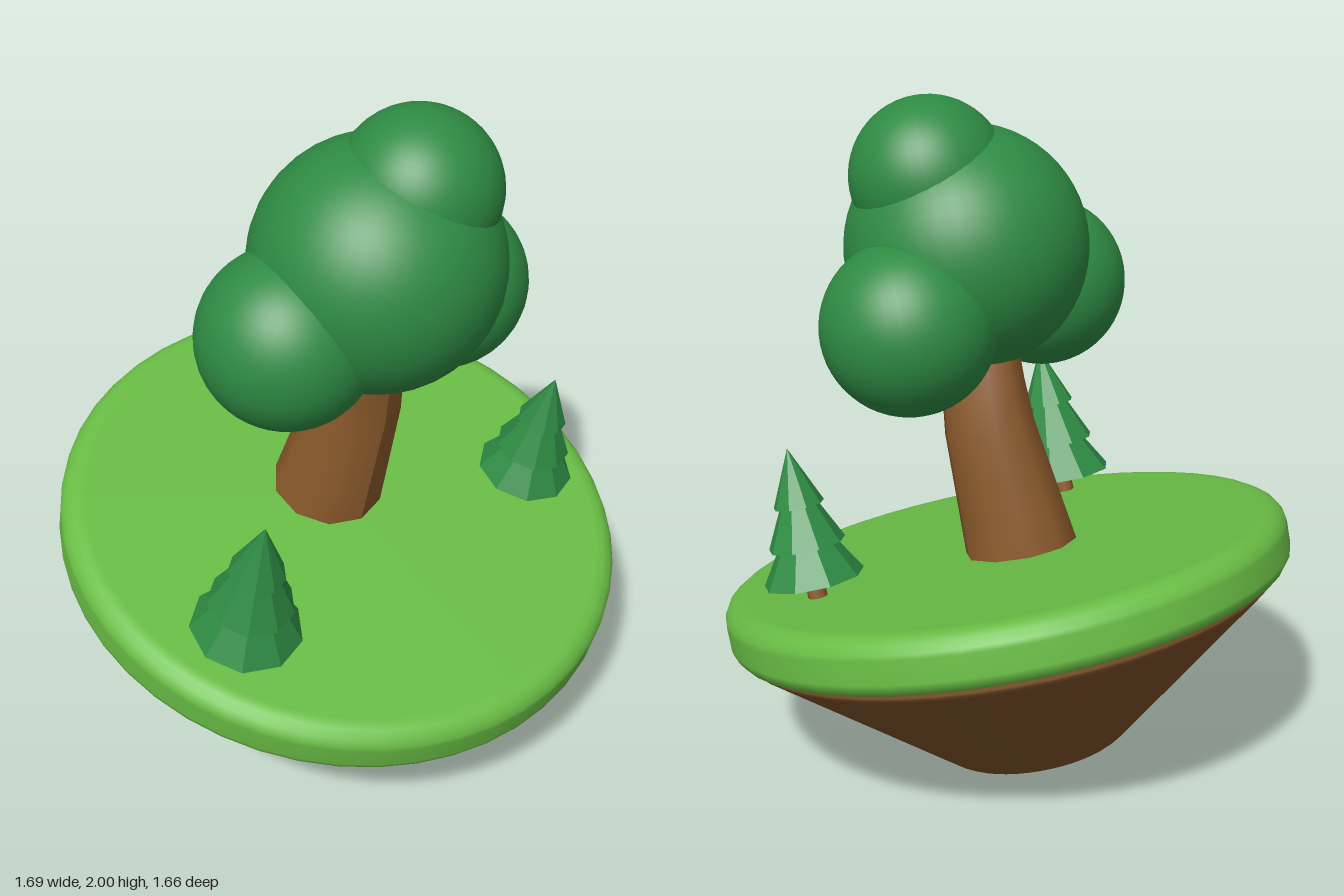
import * as THREE from 'three';

const mat = (name, color) => {
  const m = new THREE.MeshStandardMaterial({ color });
  m.name = name;
  return m;
};

export function createModel() {
  const grass = mat('grass green', 0x69bd45);
  const soil = mat('soil brown', 0x7a5028);
  const bark = mat('bark brown', 0x8b5a2b);
  const leaf = mat('leaf green', 0x2e8b43);

  const model = new THREE.Group();
  model.name = 'floatingIsland';

  // Everything is built upright, then the whole island tips forward
  const island = new THREE.Group();
  island.name = 'tiltedIsland';
  island.rotation.x = 0.25;
  island.position.set(0, 0.0675, -0.1375);
  model.add(island);

  const add = (parent, name, geometry, material, x = 0, y = 0, z = 0) => {
    const mesh = new THREE.Mesh(geometry, material);
    mesh.name = name;
    mesh.position.set(x, y, z);
    parent.add(mesh);
    return mesh;
  };
  const lathe = (points, segments) =>
    new THREE.LatheGeometry(points.map(([r, y]) => new THREE.Vector2(r, y)), segments);
  const faceted = (geometry) => {
    const g = geometry.toNonIndexed();
    g.computeVertexNormals();
    return g;
  };

  // Soil cone with a short vertical lip under the turf
  add(island, 'soilBase', lathe([
    [0, 0], [0.24, 0], [0.26, 0.002], [0.275, 0.011], [0.3, 0.031],
    [0.785, 0.437], [0.8, 0.45], [0.8, 0.456], [0.8, 0.48],
  ], 48), soil);

  // Turf disc with rounded rim
  add(island, 'turf', lathe([
    [0, 0.465], [0.78, 0.465], [0.8, 0.466], [0.828, 0.475], [0.843, 0.497],
    [0.845, 0.51], [0.845, 0.575], [0.843, 0.59], [0.83, 0.612], [0.808, 0.626],
    [0.785, 0.63], [0.775, 0.63], [0, 0.63],
  ], 48), grass);

  // Tapered trunk, leaning to one side and bending back near the crown
  const trunk = new THREE.CylinderGeometry(0.1, 0.168, 0.76, 10, 6);
  const p = trunk.attributes.position;
  for (let i = 0; i < p.count; i++) {
    const h = p.getY(i) + 0.38;
    p.setX(i, p.getX(i) + (h < 0.43 ? h * 0.1 : 0.043 - (h - 0.43) * 0.13));
  }
  trunk.computeVertexNormals();
  add(island, 'treeTrunk', trunk, bark, 0, 1.0, -0.083);

  // Crown of four overlapping spheres
  const crown = [
    ['crownCentre', 0, 1.523, 0.352],
    ['crownRight', -0.275, 1.373, 0.25],
    ['crownLeft', 0.27, 1.346, 0.25],
    ['crownTop', 0.093, 1.74, 0.226],
  ];
  for (const [name, x, y, r] of crown) {
    add(island, name, new THREE.SphereGeometry(r, 40, 28), leaf, x, y, -0.085);
  }

  // Small conifers: stem and three faceted tiers [radius, height, base]
  const tiers = [[0.16, 0.26, 0.06], [0.122, 0.25, 0.172], [0.08, 0.18, 0.3]];
  const conifer = (name, x, z, scale) => {
    const tree = new THREE.Group();
    tree.name = name;
    tree.position.set(x, 0.63, z);
    tree.scale.setScalar(scale);
    add(tree, 'stem', new THREE.CylinderGeometry(0.026, 0.032, 0.12, 8), bark, 0, 0.05, 0);
    tiers.forEach(([r, h, base], i) =>
      add(tree, `tier${i + 1}`, faceted(new THREE.ConeGeometry(r, h, 9)), leaf, 0, base + h / 2, 0));
    island.add(tree);
  };
  conifer('rightConifer', -0.555, 0.256, 1);
  conifer('leftConifer', 0.547, 0.21, 0.915);

  return model;
}
